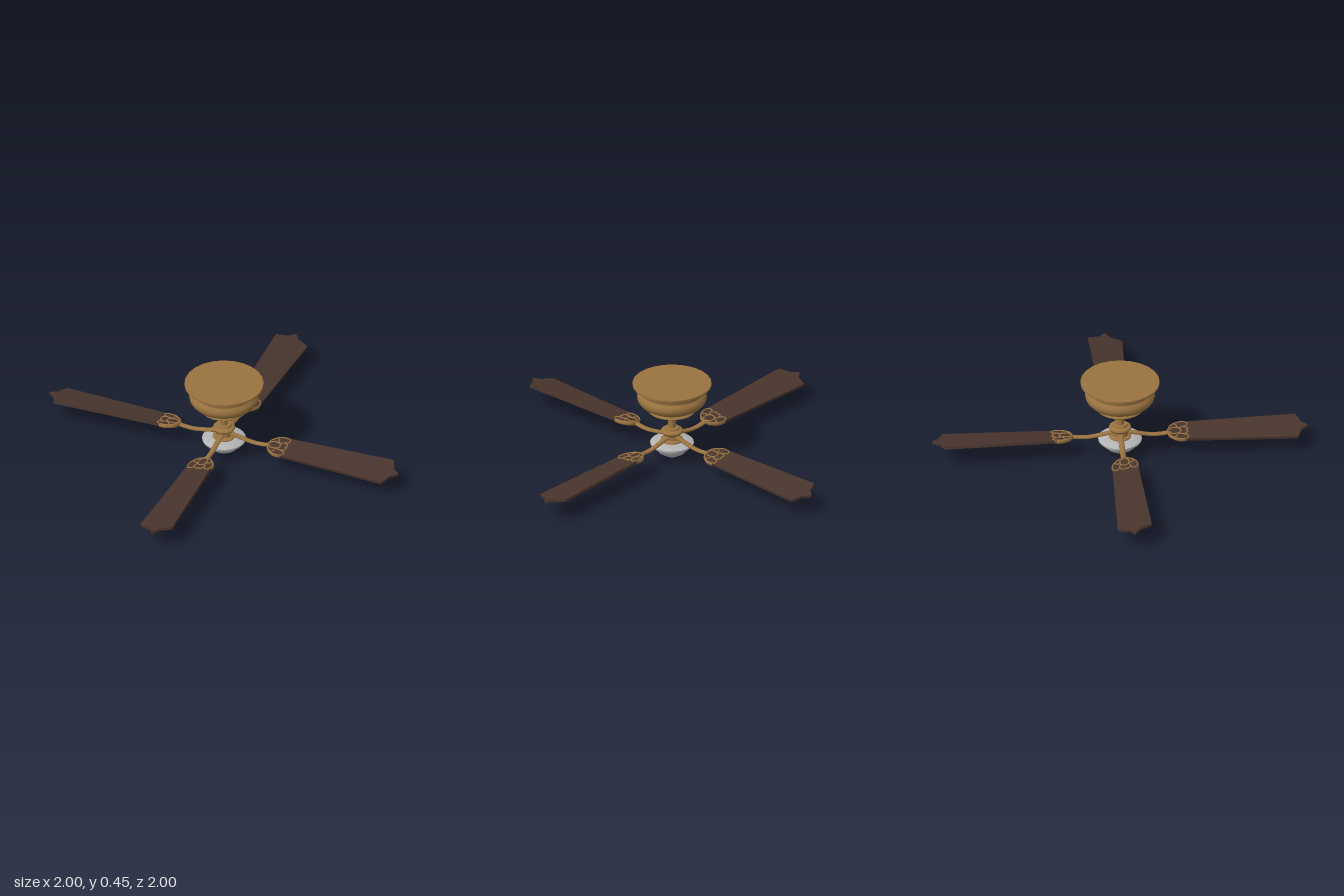
import * as THREE from 'three';
import { toCreasedNormals } from 'three/addons/utils/BufferGeometryUtils.js';

const brass = new THREE.MeshStandardMaterial({ color: 0x9a7340 });
brass.name = 'brass';
const wood = new THREE.MeshStandardMaterial({ color: 0x48342d });
wood.name = 'dark wood';
const glass = new THREE.MeshStandardMaterial({ color: 0xb4b4b4 });
glass.name = 'frosted glass';

function mesh(name, geometry, material) {
  const m = new THREE.Mesh(geometry, material);
  m.name = name;
  return m;
}

// Turned part from [radius, height] pairs listed bottom to top
function turned(name, profile, material, sides = 24) {
  const points = profile.map(([r, y]) => new THREE.Vector2(r, y));
  return mesh(name, toCreasedNormals(new THREE.LatheGeometry(points, sides), 0.6), material);
}

// Smooth rod through [x, y, z] points, stretched in y and z
function rod(name, points, radius, sy, sz) {
  const curve = new THREE.CatmullRomCurve3(points.map((p) => new THREE.Vector3(p[0], p[1] / sy, p[2] / sz)));
  return mesh(name, new THREE.TubeGeometry(curve, 20, radius, 8).scale(1, sy, sz), brass);
}

// Tapered blade with a scalloped root and a pointed ogee tip
function bladeGeometry() {
  const t = 0.015;
  const s = new THREE.Shape();
  s.moveTo(0.255, 0);
  s.quadraticCurveTo(0.262, 0.03, 0.28, 0.04);
  s.quadraticCurveTo(0.29, 0.062, 0.305, 0.068);
  s.lineTo(0.942, 0.092);
  s.quadraticCurveTo(0.958, 0.06, 0.966, 0.03);
  s.quadraticCurveTo(0.982, 0.022, 1.005, 0);
  s.quadraticCurveTo(0.982, -0.022, 0.966, -0.03);
  s.quadraticCurveTo(0.958, -0.06, 0.942, -0.092);
  s.lineTo(0.305, -0.068);
  s.quadraticCurveTo(0.29, -0.062, 0.28, -0.04);
  s.quadraticCurveTo(0.262, -0.03, 0.255, 0);
  const g = new THREE.ExtrudeGeometry(s, { depth: t, bevelEnabled: false, curveSegments: 5 });
  return g.translate(0, 0, -t / 2).rotateX(-Math.PI / 2);
}

function createBlade() {
  const arm = new THREE.Group();
  arm.name = 'bladeAssembly';

  const pitched = new THREE.Group();
  pitched.name = 'pitchedBlade';
  pitched.position.y = 0.117;
  pitched.rotation.x = 0.165;
  pitched.add(mesh('blade', bladeGeometry(), wood));

  // Openwork bracket gripping both faces of the blade root
  for (const k of [1, -1]) {
    const strips = [
      [[0.254, 0], [0.266, 0.034], [0.29, 0.056], [0.315, 0.067], [0.345, 0.068]],
      [[0.345, 0.068], [0.362, 0.055], [0.358, 0.038], [0.338, 0.03]],
      [[0.338, 0.03], [0.357, 0.02], [0.362, 0.008], [0.355, 0]],
      [[0.258, 0.008], [0.28, 0.024], [0.308, 0.022], [0.338, 0.03]],
      [[0.308, 0.022], [0.322, 0.012], [0.325, 0]],
      [[0.29, 0.056], [0.302, 0.042], [0.308, 0.022]],
    ];
    for (const strip of strips) {
      pitched.add(rod('bracketStrip', strip.map(([x, z]) => [x, 0, z * k]), 0.005, 2.4, 1));
    }
  }
  arm.add(pitched);

  // Sagging arm from the hub to the bracket
  arm.add(rod('bladeArm', [[0.02, 0.137, 0], [0.09, 0.122, 0], [0.17, 0.108, 0], [0.23, 0.11, 0], [0.27, 0.117, 0]], 0.01, 0.9, 1.5));
  return arm;
}

export function createModel() {
  const fan = new THREE.Group();
  fan.name = 'ceilingFan';

  // Ceiling housing
  fan.add(turned('housing', [
    [0, 0.285], [0.125, 0.285], [0.13, 0.291], [0.125, 0.298], [0.11, 0.3],
    [0.14, 0.312], [0.168, 0.329], [0.183, 0.348], [0.187, 0.365], [0.183, 0.382],
    [0.171, 0.396], [0.171, 0.402], [0.173, 0.414], [0.182, 0.426], [0.195, 0.434],
    [0.211, 0.436], [0.211, 0.447], [0, 0.447],
  ], brass));

  // Down rod and hub
  fan.add(turned('downRod', [[0.02, 0.15], [0.02, 0.29]], brass, 16));
  fan.add(turned('hub', [
    [0, 0.1], [0.06, 0.1], [0.06, 0.112], [0.042, 0.118], [0.04, 0.14], [0.052, 0.148],
    [0.06, 0.16], [0.057, 0.168], [0.04, 0.173], [0.037, 0.183], [0, 0.185],
  ], brass));

  // Light bowl with stepped rim and finial
  fan.add(turned('lightBowl', [
    [0, 0], [0.012, 0.003], [0.022, 0.012], [0.03, 0.02], [0.052, 0.027], [0.074, 0.042],
    [0.088, 0.062], [0.092, 0.07], [0.105, 0.074], [0.107, 0.08], [0.116, 0.086],
    [0.117, 0.094], [0.108, 0.101], [0.06, 0.106], [0, 0.106],
  ], glass));

  // Four blades
  for (let i = 0; i < 4; i++) {
    const blade = createBlade();
    blade.rotation.y = 0.107 + (i * Math.PI) / 2;
    fan.add(blade);
  }
  return fan;
}
